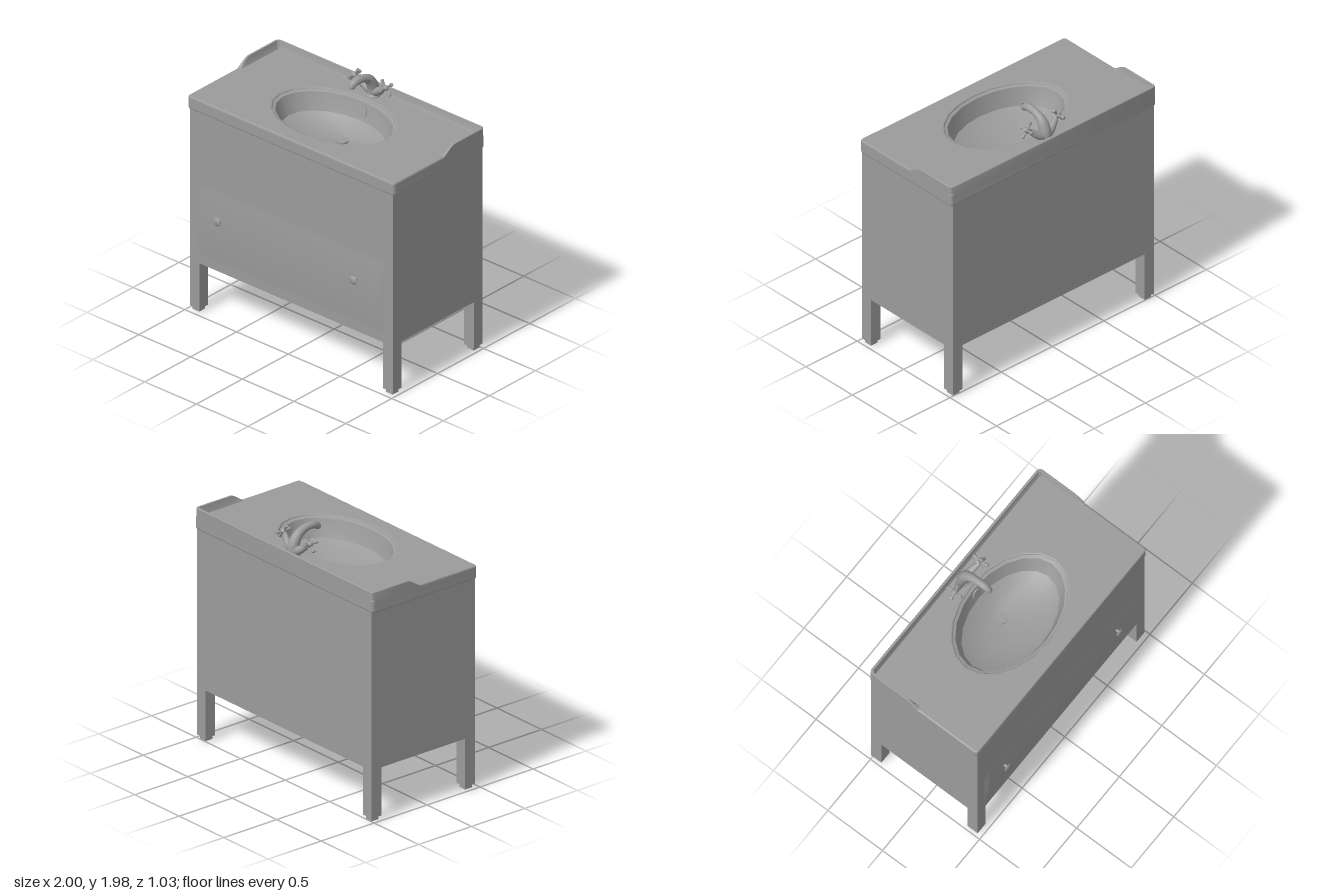
import * as THREE from 'three';
import { toCreasedNormals } from 'three/addons/utils/BufferGeometryUtils.js';

const grey = new THREE.MeshStandardMaterial({ color: 0x9b9b9b });
const greyDouble = new THREE.MeshStandardMaterial({ color: 0x9b9b9b, side: THREE.DoubleSide });
const V = (x, y, z) => new THREE.Vector3(x, y, z);

function add(parent, name, geometry, material = grey) {
  const mesh = new THREE.Mesh(geometry, material);
  mesh.name = name;
  parent.add(mesh);
  return mesh;
}

// Box given by its lower and upper limits on each axis
function block(parent, name, x0, x1, y0, y1, z0, z1) {
  const mesh = add(parent, name, new THREE.BoxGeometry(x1 - x0, y1 - y0, z1 - z0));
  mesh.position.set((x0 + x1) / 2, (y0 + y1) / 2, (z0 + z1) / 2);
}

// Surface through a list of cross-sections with equal numbers of points
function loft(sections, crease) {
  const n = sections[0].length, index = [];
  for (let j = 1; j < sections.length; j++) {
    for (let i = 1; i < n; i++) {
      const p = j * n + i;
      index.push(p - n - 1, p - n, p, p - n - 1, p, p - 1);
    }
  }
  const geo = new THREE.BufferGeometry();
  geo.setAttribute('position', new THREE.Float32BufferAttribute(sections.flat(2), 3));
  geo.setIndex(index);
  return toCreasedNormals(geo, crease);
}

// Tube whose radius follows a list of radii along its path
function taperedTube(points, radii, steps = 24, sides = 14) {
  const path = new THREE.CatmullRomCurve3(points);
  const geo = new THREE.TubeGeometry(path, steps, 1, sides);
  const pos = geo.attributes.position, v = V(0, 0, 0);
  for (let i = 0; i < pos.count; i++) {
    const t = Math.floor(i / (sides + 1)) / steps;
    const k = t * (radii.length - 1), a = Math.min(Math.floor(k), radii.length - 2);
    const c = path.getPointAt(t);
    v.fromBufferAttribute(pos, i).sub(c);
    v.multiplyScalar(THREE.MathUtils.lerp(radii[a], radii[a + 1], k - a)).add(c);
    pos.setXYZ(i, v.x, v.y, v.z);
  }
  geo.computeVertexNormals();
  return geo;
}

// Lathe part turned to point along a direction
function turned(parent, name, profile, origin, dir) {
  const geo = new THREE.LatheGeometry(profile.map(p => new THREE.Vector2(...p)), 18);
  const mesh = add(parent, name, toCreasedNormals(geo, 0.7), greyDouble);
  mesh.position.copy(origin);
  mesh.quaternion.setFromUnitVectors(V(0, 1, 0), dir.clone().normalize());
}

function buildCabinet(root) {
  const g = new THREE.Group();
  g.name = 'cabinet';
  root.add(g);
  const X = 0.981, Z0 = -0.509, Z1 = 0.467, Y0 = 0.41, Y1 = 1.67, t = 0.02;
  block(g, 'frontPanel', -X, X, Y0, Y1, Z1 - t, Z1);
  block(g, 'backPanel', -X, X, Y0, Y1, Z0, Z0 + t);
  block(g, 'bottomPanel', -X + t, X - t, Y0, Y0 + t, Z0 + t, Z1 - t);
  for (const s of [-1, 1]) {
    const a = s * X, b = s * (X - t);
    block(g, 'sidePanel', Math.min(a, b), Math.max(a, b), Y0, Y1, Z0 + t, Z1 - t);
    for (const [z0, z1] of [[Z0, Z0 + 0.094], [Z1 - 0.094, Z1]]) {
      const x = s * (X - 0.047), z = (z0 + z1) / 2;
      block(g, 'leg', x - 0.047, x + 0.047, 0.03, Y0, z0, z1);
      block(g, 'foot', x - 0.032, x + 0.032, 0, 0.03, z - 0.032, z + 0.032);
    }
  }

  // Gently bowed drawer front, fading into the panel at its edges
  const drawer = new THREE.PlaneGeometry(1.8, 0.58, 60, 12);
  const pos = drawer.attributes.position;
  for (let i = 0; i < pos.count; i++) {
    const k = pos.getY(i) / 0.29, fade = Math.min(1, (0.9 - Math.abs(pos.getX(i))) / 0.03);
    pos.setZ(i, 0.0005 + 0.011 * (1 - k * k) * fade);
  }
  drawer.computeVertexNormals();
  add(g, 'drawerFront', drawer).position.set(0, 0.78, Z1);

  // Knobs: thin stem and domed cap
  const knob = [[0.018, 0], [0.012, 0.006], [0.01, 0.033], [0.035, 0.038], [0.036, 0.042], [0.025, 0.05], [0, 0.053]];
  for (const x of [-0.68, 0.636]) turned(g, 'knob', knob, V(x, 0.845, Z1), V(0, 0, 1));
}

const SIDES = 20;

function buildWashbasin(root) {
  const g = new THREE.Group();
  g.name = 'washbasin';
  root.add(g);

  // Countertop slab with rounded corners and an oval opening
  const w = 1, d = 0.495, r = 0.03, cz = -0.02;
  const plan = new THREE.Shape();
  plan.moveTo(-w + r, -d);
  plan.lineTo(w - r, -d).quadraticCurveTo(w, -d, w, -d + r);
  plan.lineTo(w, d - r).quadraticCurveTo(w, d, w - r, d);
  plan.lineTo(-w + r, d).quadraticCurveTo(-w, d, -w, d - r);
  plan.lineTo(-w, -d + r).quadraticCurveTo(-w, -d, -w + r, -d);
  const hole = [];
  for (let i = 0; i < SIDES; i++) {
    const a = -i / SIDES * Math.PI * 2;
    hole.push(new THREE.Vector2(0.518 * Math.cos(a), 0.347 * Math.sin(a) + cz));
  }
  plan.holes.push(new THREE.Path(hole));
  const slab = new THREE.ExtrudeGeometry(plan, {
    depth: 0.081, bevelSize: 0.012, bevelThickness: 0.012, bevelOffset: -0.012, bevelSegments: 2, curveSegments: 6,
  });
  slab.rotateX(-Math.PI / 2);
  add(g, 'countertop', toCreasedNormals(slab, 0.33)).position.set(0, 1.667, cz);

  // Oval bowl: rings of [y, x radius, z radius, z centre], from lip to drain
  const rings = [
    [1.749, 0.521, 0.35, 0], [1.74, 0.493, 0.326, 0], [1.68, 0.475, 0.312, 0], [1.605, 0.44, 0.288, 0],
    [1.57, 0.36, 0.235, -0.01], [1.535, 0.22, 0.145, -0.04], [1.515, 0.05, 0.05, -0.085], [1.512, 0, 0, -0.085],
  ];
  const bowl = rings.map(([y, rx, rz, z]) => Array.from({ length: SIDES + 1 }, (_, i) => {
    const a = i / SIDES * Math.PI * 2;
    return [rx * Math.cos(a), y, z + rz * Math.sin(a)];
  }));
  add(g, 'bowl', loft(bowl, 0.5), greyDouble);

  // Drain and overflow
  const disc = [[0.048, 0], [0.048, 0.016], [0, 0.016]];
  turned(g, 'drain', disc, V(0, 1.512, -0.085), V(0, 1, 0));
  turned(g, 'overflow', disc, V(0, 1.67, -0.312), V(0, 0.25, 1));

  // Raised rim along the back, sweeping down at both sides:
  // stations of [outer x, outer z, inward x, inward z]
  const side = [];
  for (let i = 0; i <= 10; i++) side.push([1, -0.04 - 0.015 * i, -1, 0]);
  side.push([1, -0.485, -1, 0.2], [0.991, -0.506, -0.9, 0.9], [0.97, -0.515, -0.2, 1]);
  const stations = [...side, ...side.map(([x, z, dx, dz]) => [-x, z, -dx, dz]).reverse()];
  const rim = stations.map(([x, z, dx, dz]) => {
    const top = 1.752 + 0.07 * THREE.MathUtils.smoothstep(-z, 0.04, 0.19);
    const foot = Math.min(top, 1.775);
    const at = (inset, y) => [x + dx * inset, y, z + dz * inset];
    return [at(0, 1.745), at(0, top - 0.004), at(0.004, top), at(0.018, top), at(0.026, foot), at(0.038, 1.752)];
  });
  add(g, 'splashRim', loft(rim, 0.5), greyDouble);
}

function buildFaucet(root) {
  const g = new THREE.Group();
  g.name = 'faucet';
  root.add(g);
  turned(g, 'faucetBase', [[0.055, 0], [0.055, 0.01], [0.045, 0.02], [0.04, 0.05]], V(0, 1.757, -0.425), V(0, 1, 0));
  add(g, 'spout', taperedTube(
    [V(0, 1.77, -0.428), V(0, 1.84, -0.418), V(0, 1.905, -0.38), V(0, 1.938, -0.32),
      V(0, 1.947, -0.26), V(0, 1.94, -0.215), V(0, 1.922, -0.193)],
    [0.046, 0.045, 0.041, 0.034, 0.029, 0.03, 0.025]), greyDouble);
  turned(g, 'spoutTip', [[0.024, -0.02], [0.024, 0.008], [0.018, 0.016], [0, 0.016]],
    V(0, 1.922, -0.193), V(0, -1, 0.45));

  for (const s of [-1, 1]) {
    // Valve arm reaching up and outwards
    add(g, 'valveArm', taperedTube(
      [V(0, 1.79, -0.425), V(s * 0.06, 1.815, -0.415), V(s * 0.125, 1.865, -0.395)],
      [0.036, 0.034, 0.027, 0.02], 10), greyDouble);
    // Cross handle: hub and four flared spokes
    const handle = new THREE.Group();
    handle.name = 'crossHandle';
    handle.position.set(s * 0.149, 1.884, -0.39);
    handle.rotation.z = -s * 0.9;
    g.add(handle);
    turned(handle, 'hub', [[0.016, -0.035], [0.016, -0.012], [0.021, -0.008], [0.021, 0.012], [0.012, 0.024], [0, 0.026]],
      V(0, 0, 0), V(0, 1, 0));
    for (let i = 0; i < 4; i++) {
      const a = i * Math.PI / 2;
      turned(handle, 'spoke', [[0.008, 0.01], [0.008, 0.035], [0.014, 0.058], [0.013, 0.066], [0, 0.07]],
        V(0, 0, 0), V(Math.cos(a), 0.12, Math.sin(a)));
    }
  }
}

export function createModel() {
  const root = new THREE.Group();
  root.name = 'washstand';
  buildCabinet(root);
  buildWashbasin(root);
  buildFaucet(root);
  return root;
}
